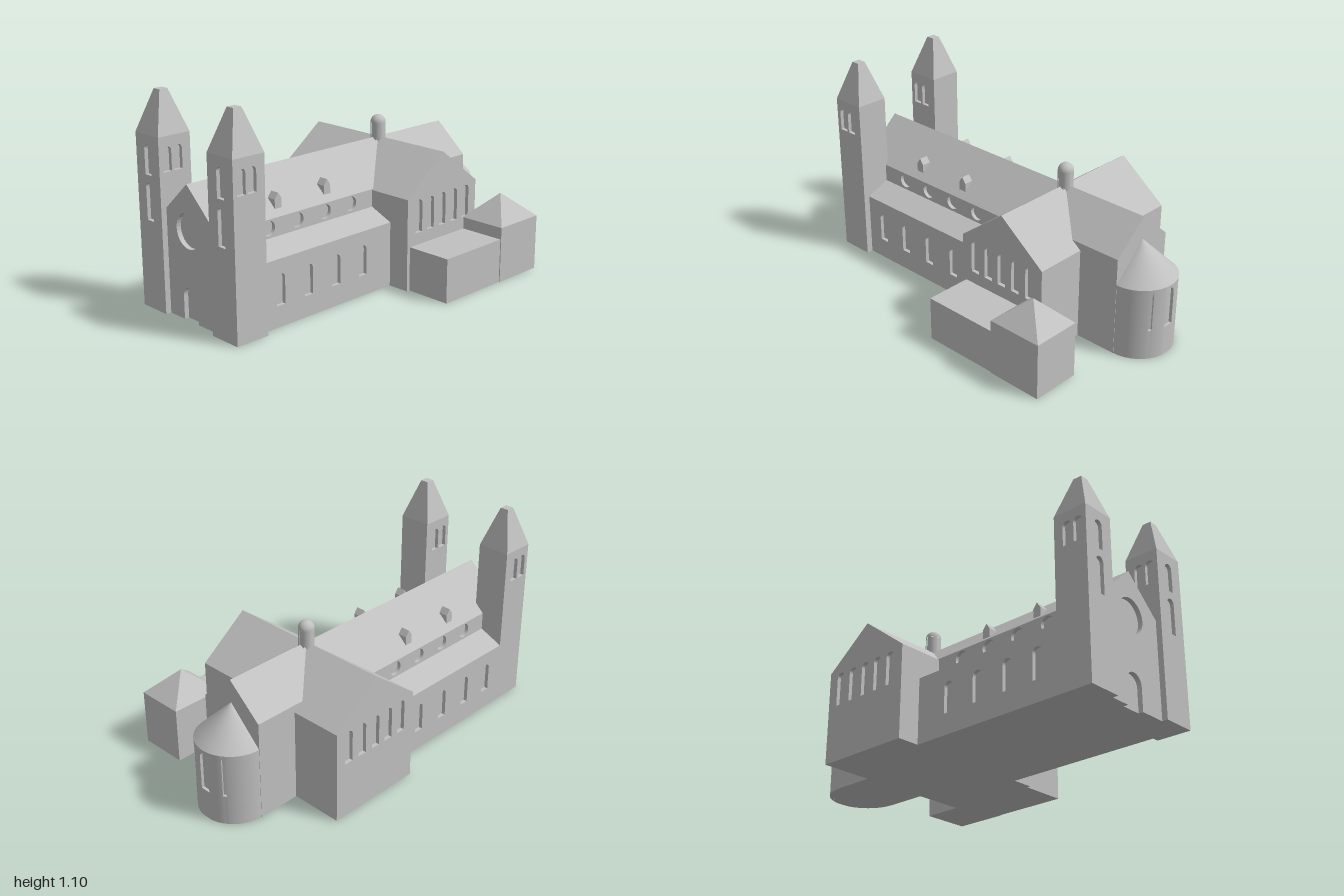
import * as THREE from 'three';

const AXIS = -0.13; // z of the nave's centre line
const D = 0.02; // depth of window recesses

export function createModel() {
  const model = new THREE.Group();
  model.name = 'church';
  const stone = new THREE.MeshStandardMaterial({ color: 0xc0c0c0 });
  stone.name = 'stone grey';

  const add = (name, geo, x = 0, y = 0, z = 0, turn = 0, parent = model) => {
    const m = new THREE.Mesh(geo, stone);
    m.name = name;
    m.position.set(x, y, z);
    m.rotation.y = turn;
    parent.add(m);
    return m;
  };
  // Box given by its limits
  const block = (name, x0, x1, y0, y1, z0, z1, parent = model) =>
    add(name, new THREE.BoxGeometry(x1 - x0, y1 - y0, z1 - z0),
      (x0 + x1) / 2, (y0 + y1) / 2, (z0 + z1) / 2, 0, parent);
  const poly = (pts) => new THREE.Shape(pts.map((p) => new THREE.Vector2(...p)));
  const rect = (x0, x1, y0, y1) => poly([[x0, y0], [x1, y0], [x1, y1], [x0, y1]]);
  const gable = (w, eave, ridge, base = 0) =>
    poly([[-w, base], [w, base], [w, eave], [0, ridge], [-w, eave]]);
  const extrude = (shape, depth) =>
    new THREE.ExtrudeGeometry(shape, { depth, bevelEnabled: false, curveSegments: 16 });
  // Round-headed and round window outlines
  const arch = (x, w, y0, y1) => {
    const p = new THREE.Path();
    p.moveTo(x - w, y0);
    p.lineTo(x + w, y0);
    p.lineTo(x + w, y1 - w);
    p.absarc(x, y1 - w, w, 0, Math.PI, false);
    p.lineTo(x - w, y0);
    return p;
  };
  const circle = (x, y, r) => new THREE.Path().absarc(x, y, r, 0, Math.PI * 2, true);
  // Pierced wall sheet with its outer face at local z = 0
  const pierced = (shape, holes, depth = D) => {
    shape.holes.push(...holes);
    return extrude(shape, depth).translate(0, 0, -depth);
  };
  // Faceted four-sided roof
  const pyramid = (w, d, h, top = 0) => {
    const g = new THREE.CylinderGeometry(top * Math.SQRT1_2, Math.SQRT1_2, h, 4)
      .rotateY(Math.PI / 4).scale(w, 1, d).toNonIndexed();
    g.computeVertexNormals();
    return g;
  };

  // Nave
  block('naveBody', -0.945, 0.3, 0, 0.495, AXIS - 0.195, AXIS + 0.195);
  add('naveRoof', extrude(gable(0.215, 0.495, 0.692, 0.49), 1.26), -0.945, 0, AXIS, Math.PI / 2);

  // West front with door and rose window
  const front = poly([[0.055, 0], [0.215, 0], [0.215, 0.495], [0, 0.692], [-0.215, 0.495], [-0.215, 0], [-0.055, 0]]);
  front.lineTo(-0.055, 0.12);
  front.absarc(0, 0.12, 0.055, Math.PI, 0, true);
  add('westFront', pierced(front, [circle(0, 0.46, 0.09)], 0.025), -0.97, 0, AXIS, -Math.PI / 2);

  // Side walls, aisles and dormers, mirrored about the axis
  for (const s of [1, -1]) {
    const side = new THREE.Group();
    side.name = s > 0 ? 'southSide' : 'northSide';
    side.position.z = AXIS;
    side.rotation.y = s > 0 ? 0 : Math.PI;
    model.add(side);
    // x is flipped on the turned side
    const span = (a, b) => (s > 0 ? [a, b] : [-b, -a]);
    const [x0, x1] = span(-0.945, 0.1);

    add('clerestoryWall', pierced(rect(x0, x1, 0.37, 0.495),
      [-0.655, -0.47, -0.285, -0.105].map((x) => circle(s * x, 0.45, 0.038))), 0, 0, 0.215, 0, side);
    block('aisleBody', x0, x1, 0, 0.345, 0.1, 0.325, side);
    add('aisleWall', pierced(rect(x0, x1, 0, 0.345),
      [-0.7, -0.52, -0.335, -0.15].map((x) => arch(s * x, 0.027, 0.11, 0.27))), 0, 0, 0.345, 0, side);
    add('aisleRoof', extrude(poly([[-0.345, 0.34], [-0.19, 0.34], [-0.19, 0.41], [-0.215, 0.4], [-0.345, 0.345]]), x1 - x0),
      x0, 0, 0, Math.PI / 2, side);
    for (const x of [-0.565, -0.24])
      add('dormer', extrude(gable(0.022, 0.572, 0.603, 0.5), 0.05), s * x, 0, 0.132, 0, side);

    // Transept end wall
    add('transeptGable', pierced(gable(0.265, 0.49, 0.692),
      [-0.18, -0.09, 0, 0.092, 0.184].map((x) => arch(s * x, 0.025, 0.3, 0.475))),
      s * 0.315, 0, 0.465, 0, side);
  }

  // Transept and choir
  add('transept', extrude(gable(0.265, 0.49, 0.692), 0.89), 0.315, 0, AXIS - 0.445);
  add('choir', extrude(gable(0.187, 0.53, 0.692), 0.495), 0.315, 0, AXIS, Math.PI / 2);

  // Apse: inner drum, curved wall pieces and flat window strips
  const apse = new THREE.Group();
  apse.name = 'apse';
  apse.position.set(0.81, 0, AXIS);
  model.add(apse);
  const R = 0.185, H = 0.39;
  add('apseCore', new THREE.CylinderGeometry(0.168, 0.168, H, 48), 0, H / 2, 0, 0, apse);
  add('apseRoof', new THREE.ConeGeometry(R + 0.001, 0.18, 64), 0, H + 0.09, 0, 0, apse);
  let from = 0;
  const curve = (to) => {
    add('apseWall', new THREE.CylinderGeometry(R, R, H, 16, 1, false, from, to - from), 0, H / 2, 0, 0, apse);
  };
  // Curved pieces are open towards the drum at the window strips
  for (const [angle, half, w] of [[-0.6, 0.065, 0.009], [0, 0.165, 0.027], [0.6, 0.065, 0.009]]) {
    const theta = Math.PI / 2 + angle;
    curve(theta - half);
    from = theta + half;
    const c = R * Math.sin(half), r = R * Math.cos(half);
    add('apseWindowWall', pierced(rect(-c, c, 0, H), [arch(0, w, 0.16, 0.37)], 0.016),
      r * Math.sin(theta), 0, r * Math.cos(theta), theta, apse);
  }
  curve(Math.PI);

  // Twin west towers
  for (const [z0, z1] of [[-0.475, -0.295], [0.07, 0.25]]) {
    const tower = new THREE.Group();
    tower.name = 'tower';
    tower.position.set(-0.9075, 0, (z0 + z1) / 2);
    model.add(tower);
    block('towerBody', -0.0925 + D, 0.0925, 0, 0.89, -0.09 + D, 0.09 - D, tower);
    for (const s of [1, -1])
      add('belfryWall', pierced(rect(-0.0925, 0.0925, 0, 0.89),
        [-0.045, 0.018].map((x) => arch(s * x, 0.025, 0.715, 0.84))),
        0, 0, s * 0.09, s > 0 ? 0 : Math.PI, tower);
    add('towerFront', pierced(rect(-0.09, 0.09, 0, 0.89),
      [arch(0, 0.025, 0.69, 0.84), arch(0, 0.025, 0.46, 0.65)]), -0.0925, 0, 0, -Math.PI / 2, tower);
    add('spire', pyramid(0.185, 0.18, 0.21, 0.25), 0, 0.995, 0, 0, tower);
  }

  // Crossing lantern with slotted drum and dome
  const lantern = new THREE.Group();
  lantern.name = 'lantern';
  lantern.position.set(0.315, 0, AXIS);
  model.add(lantern);
  add('lanternCore', new THREE.CylinderGeometry(0.033, 0.033, 0.13, 24), 0, 0.705, 0, 0, lantern);
  for (let i = 0; i < 8; i++)
    add('lanternPier', new THREE.CylinderGeometry(0.041, 0.041, 0.13, 6, 1, false, i * Math.PI / 4, 0.5), 0, 0.705, 0, 0, lantern);
  add('lanternDome', new THREE.SphereGeometry(0.041, 32, 12, 0, Math.PI * 2, 0, Math.PI / 2), 0, 0.77, 0, 0, lantern);

  // Sacristy annex
  block('annexHall', 0.07, 0.5, 0, 0.235, 0.3, 0.585);
  block('annexPavilion', 0.49, 0.79, 0, 0.298, 0.328, 0.59);
  add('annexRoof', pyramid(0.3, 0.262, 0.13), 0.64, 0.363, 0.459);

  return model;
}
